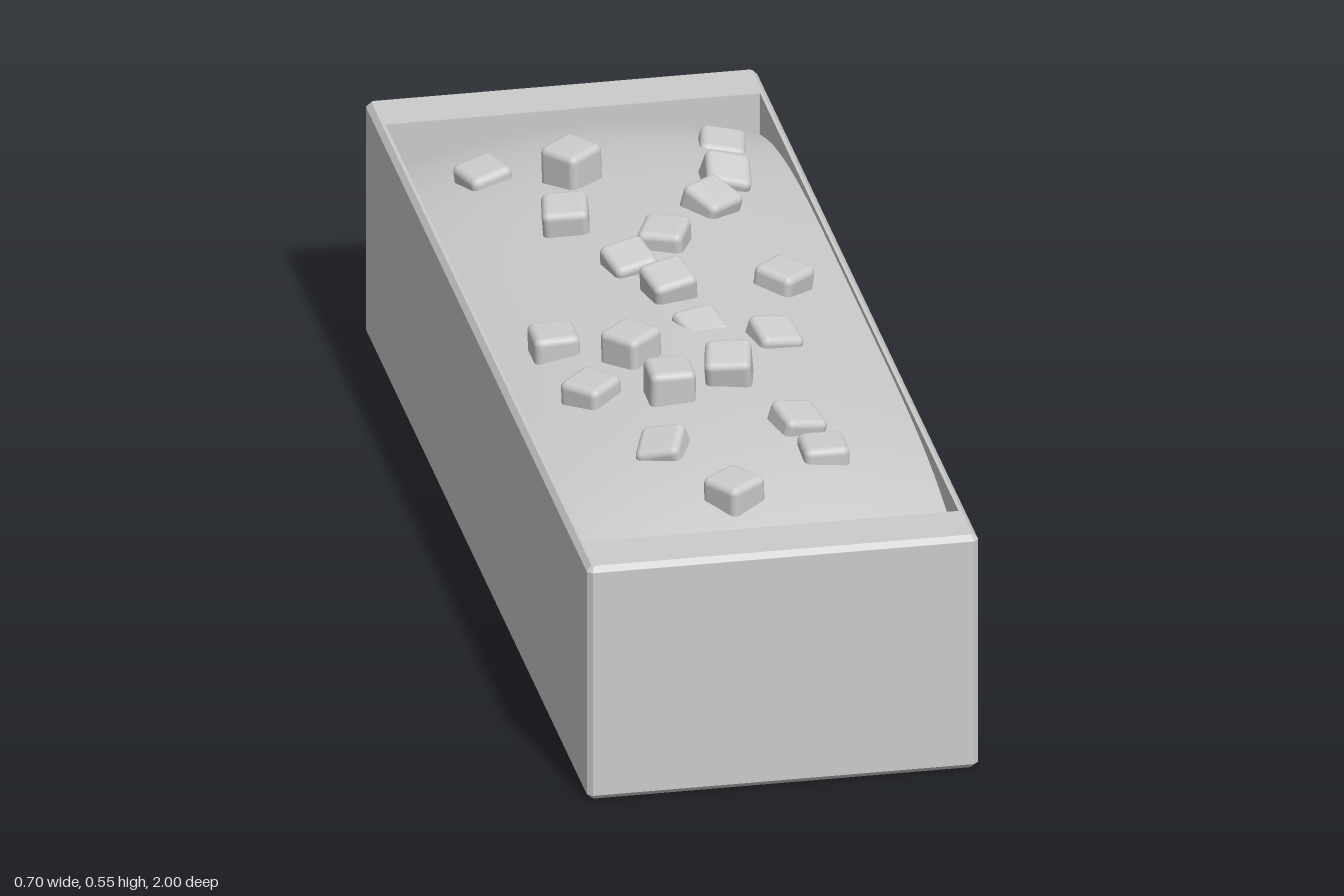
import * as THREE from 'three';
import { RoundedBoxGeometry } from 'three/addons/geometries/RoundedBoxGeometry.js';

const material = new THREE.MeshStandardMaterial({ color: 0xcccccc });

// Rectangle with cut corners, lying at height y
function ring(hx, hz, cut, y) {
  return [
    [hx, -hz + cut], [hx, hz - cut], [hx - cut, hz], [-hx + cut, hz],
    [-hx, hz - cut], [-hx, -hz + cut], [-hx + cut, -hz], [hx - cut, -hz],
  ].map(([x, z]) => [x, y, z]);
}

// Flat-faced skin through a list of rings
function loft(rings) {
  const pos = [];
  for (let i = 0; i < rings.length - 1; i++) {
    const a = rings[i], b = rings[i + 1];
    for (let j = 0; j < a.length; j++) {
      const k = (j + 1) % a.length;
      pos.push(...a[j], ...b[j], ...b[k], ...a[j], ...b[k], ...a[k]);
    }
  }
  const g = new THREE.BufferGeometry();
  g.setAttribute('position', new THREE.Float32BufferAttribute(pos, 3));
  g.computeVertexNormals();
  return g;
}

// Height of the mound inside the box
const moundHeight = (x, z) =>
  0.485 - 0.045 * Math.abs(x / 0.335) ** 2 - 0.07 * Math.abs(z / 0.89) ** 4.5;

export function createModel() {
  const model = new THREE.Group();
  model.name = 'filledPlanter';

  // Open box: thin long sides, thick ends, chamfered outer edges
  const box = new THREE.Mesh(loft([
    ring(0, 0, 0, 0),
    ring(0.34, 0.99, 0.004, 0),
    ring(0.35, 1, 0.009, 0.01),
    ring(0.35, 1, 0.009, 0.44),
    ring(0.341, 0.991, 0.004, 0.45),
    ring(0.335, 0.89, 0.001, 0.45),
    ring(0.335, 0.89, 0.001, 0.33),
    ring(0, 0, 0, 0.33),
  ]), material);
  box.name = 'box';
  model.add(box);

  // Domed filling
  const moundGeo = new THREE.PlaneGeometry(0.67, 1.78, 16, 32).rotateX(-Math.PI / 2);
  const p = moundGeo.attributes.position;
  for (let i = 0; i < p.count; i++) p.setY(i, moundHeight(p.getX(i), p.getZ(i)));
  moundGeo.computeVertexNormals();
  const mound = new THREE.Mesh(moundGeo, material);
  mound.name = 'mound';
  model.add(mound);

  // Loose chunks: x, z, top height, yaw, pitch, roll (degrees)
  const chunks = [
    [0.23, -0.725, 0.46, -12, 8, -8], [-0.21, -0.63, 0.485, 20, 5, 8],
    [-0.07, -0.55, 0.543, 38, 2, 2], [0.195, -0.515, 0.515, -8, 20, -12],
    [0.145, -0.39, 0.52, 35, 14, -10], [-0.12, -0.35, 0.535, -10, 8, 6],
    [0.035, -0.24, 0.525, -25, 5, 4], [-0.045, -0.16, 0.525, 15, 16, 4],
    [0.21, -0.06, 0.51, 42, 4, -6], [0, -0.03, 0.542, 14, 14, 5],
    [0.03, 0.095, 0.5, 18, 14, -4], [-0.235, 0.12, 0.506, 0, 2, 2],
    [0.145, 0.17, 0.512, 10, 12, -12], [-0.115, 0.21, 0.537, 40, 2, 2],
    [-0.21, 0.33, 0.505, 42, 3, 3], [0.035, 0.335, 0.546, -12, 12, 6],
    [-0.08, 0.38, 0.541, 0, 2, 0], [-0.125, 0.57, 0.508, -22, 10, 20],
    [0.115, 0.525, 0.512, 14, 8, -14], [0.145, 0.63, 0.488, 0, 2, 0],
    [-0.04, 0.76, 0.495, 35, 3, 2],
  ];
  const half = 0.041, round = 0.013;
  const chunkGeo = new RoundedBoxGeometry(2 * half, 2 * half, 2 * half, 3, round);
  const pile = new THREE.Group();
  pile.name = 'chunks';
  for (const [x, z, top, yaw, pitch, roll] of chunks) {
    const chunk = new THREE.Mesh(chunkGeo, material);
    chunk.name = 'chunk';
    const [ry, rx, rz] = [yaw, pitch, roll].map(THREE.MathUtils.degToRad);
    chunk.rotation.set(rx, ry, rz, 'XZY');
    // Lower each chunk so its highest point meets the given height
    const m = new THREE.Matrix4().makeRotationFromEuler(chunk.rotation).elements;
    const reach = (half - round) * (Math.abs(m[1]) + Math.abs(m[5]) + Math.abs(m[9])) + round;
    chunk.position.set(x, top - reach, z);
    pile.add(chunk);
  }
  model.add(pile);
  return model;
}
